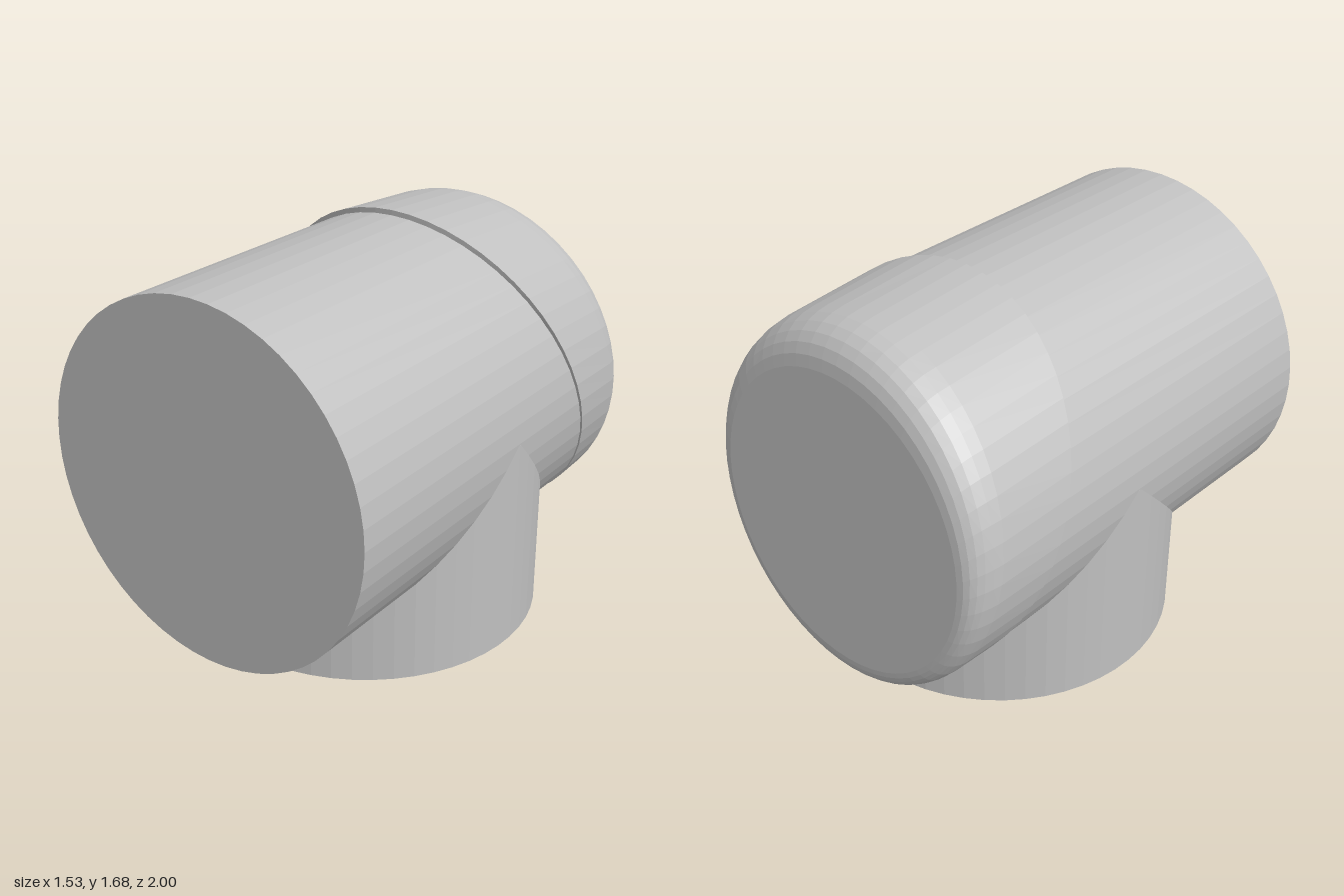
import * as THREE from 'three';

const SEG = 56;
const CY = 0.908; // height of the horizontal axis
const R = 0.755;

const grey = new THREE.MeshStandardMaterial({ color: 0xc0c0c0, flatShading: true });
grey.name = 'grey';

// Ellipse whose z runs linearly from zBottom to zTop, so it lies on a tilted plane
const ring = (rx, yBottom, yTop, zBottom, zTop) => ({ rx, yBottom, yTop, zBottom, zTop });

function mixRings(a, b, c, t) {
  const out = {};
  for (const k of Object.keys(a)) {
    out[k] = (1 - t) ** 2 * a[k] + 2 * t * (1 - t) * b[k] + t * t * c[k];
  }
  return out;
}

// Skin a row of rings running from front to back; optional flat ends
function loft(rings, closeFront, closeBack) {
  const pos = [], idx = [];
  for (const r of rings) {
    for (let i = 0; i < SEG; i++) {
      const a = (i / SEG) * Math.PI * 2;
      const h = (Math.sin(a) + 1) / 2;
      pos.push(r.rx * Math.cos(a),
        r.yBottom + (r.yTop - r.yBottom) * h,
        r.zBottom + (r.zTop - r.zBottom) * h);
    }
  }
  for (let k = 0; k < rings.length - 1; k++) {
    for (let i = 0; i < SEG; i++) {
      const j = (i + 1) % SEG;
      const a = k * SEG + i, b = k * SEG + j, c = a + SEG, d = b + SEG;
      idx.push(a, c, b, b, c, d);
    }
  }
  const last = (rings.length - 1) * SEG;
  for (let i = 1; i < SEG - 1; i++) {
    if (closeFront) idx.push(0, i, i + 1);
    if (closeBack) idx.push(last, last + i + 1, last + i);
  }
  const indexed = new THREE.BufferGeometry();
  indexed.setAttribute('position', new THREE.Float32BufferAttribute(pos, 3));
  indexed.setIndex(idx);
  const geo = indexed.toNonIndexed();
  geo.computeVertexNormals();
  return geo;
}

function addPart(group, name, geometry) {
  const mesh = new THREE.Mesh(geometry, grey);
  mesh.name = name;
  group.add(mesh);
  return mesh;
}

export function createModel() {
  const model = new THREE.Group();
  model.name = 'teeFitting';

  // Horizontal pipe, cut at a slant where the end cap begins
  addPart(model, 'horizontalPipe', loft([
    ring(R, CY - R, CY + R, 1, 1),
    ring(R, CY - R, CY + R, -0.84, -0.24),
  ], true, true));

  // Vertical branch standing on the ground
  const branch = addPart(model, 'verticalBranch', new THREE.CylinderGeometry(R, R, 0.9, SEG));
  branch.position.set(0, 0.45, -0.037);

  // End cap: slanted lip, slight taper, rounded shoulder, tilted flat back
  const shoulder = ring(0.752, 0.155, 1.655, -0.95, -0.69);
  const corner = ring(0.735, 0.155, 1.645, -1.003, -0.88);
  const back = ring(0.65, 0.23, 1.48, -1.0, -0.895);
  const capRings = [
    ring(0.735, 0.175, 1.655, -0.825, -0.215),
    ring(0.765, 0.152, 1.685, -0.825, -0.215),
  ];
  for (let i = 0; i <= 6; i++) capRings.push(mixRings(shoulder, corner, back, i / 6));
  addPart(model, 'endCap', loft(capRings, false, true));

  return model;
}
